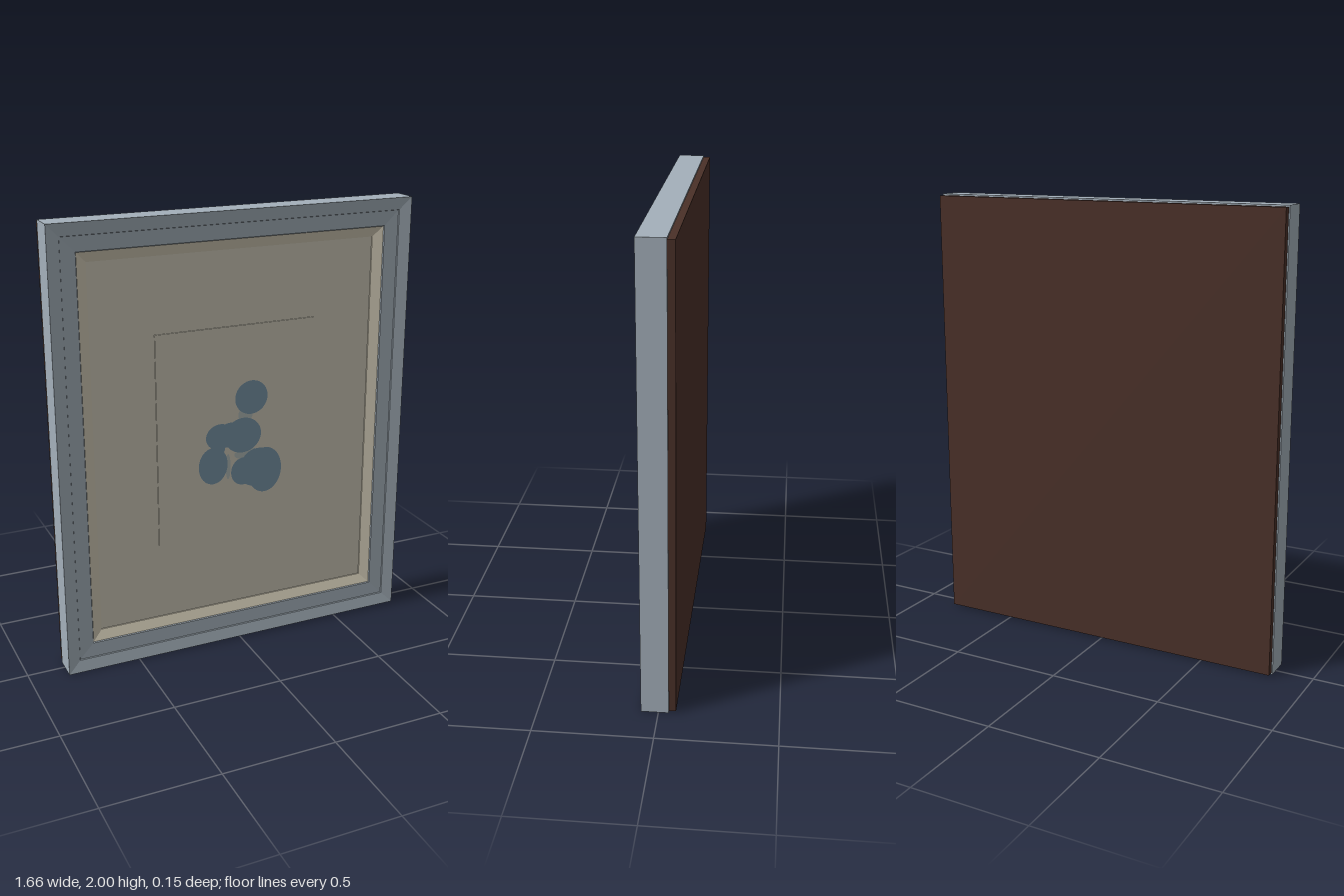
import * as THREE from 'three';
import { mergeGeometries } from 'three/addons/utils/BufferGeometryUtils.js';

const W = 0.83, H = 1; // half size of the frame

const mat = (name, color) => {
  const m = new THREE.MeshStandardMaterial({ color });
  m.name = name;
  return m;
};

// Mitred moulding: sweeps a profile of [inset, z] points around the rectangle
function moulding(profile) {
  const corners = [[-1, -1], [1, -1], [1, 1], [-1, 1]];
  const at = ([inset, z], i) => {
    const [sx, sy] = corners[i % 4];
    return [sx * (W - inset), H + sy * (H - inset), z];
  };
  const pos = [];
  for (let k = 0; k < profile.length - 1; k++) {
    for (let i = 0; i < 4; i++) {
      const a = at(profile[k], i), b = at(profile[k], i + 1);
      const c = at(profile[k + 1], i + 1), d = at(profile[k + 1], i);
      pos.push(...a, ...b, ...c, ...a, ...c, ...d);
    }
  }
  const g = new THREE.BufferGeometry();
  g.setAttribute('position', new THREE.Float32BufferAttribute(pos, 3));
  g.computeVertexNormals();
  return g;
}

// Flat painted ellipses [x, y, rx, ry] merged into one patch
function patches(list, z) {
  return mergeGeometries(list.map(([x, y, rx, ry]) =>
    new THREE.CircleGeometry(1, 40).scale(rx, ry, 1).translate(x, y, z)));
}

export function createModel() {
  const group = new THREE.Group();
  const frameBlue = mat('greyBlue', 0xa4b0ba);
  const cream = mat('cream', 0xcdc8b8);
  const liner = mat('linerCream', 0xcfc8b4);
  const brown = mat('darkBrown', 0x4a3028);
  const paint = mat('paintBlue', 0x7896a8);
  const wash = mat('paleWash', 0xb0b9b6);

  const add = (name, geometry, material) => {
    const mesh = new THREE.Mesh(geometry, material);
    mesh.name = name;
    group.add(mesh);
  };
  const slab = (w, h, d, y, z) => new THREE.BoxGeometry(w, h, d).translate(0, y, z);

  // Outer frame with two bands and a small step at the liner
  add('frame', moulding([
    [0.17, -0.043], [0, -0.043], [0, 0.073], [0.055, 0.062], [0.057, 0.057],
    [0.122, 0.053], [0.125, 0.048],
  ]), frameBlue);

  // Sloping liner between frame and picture
  add('liner', moulding([[0.125, 0.048], [0.17, 0.031], [0.17, 0.02]]), liner);

  // Backing board
  add('backing', slab(1.65, 1.986, 0.03, 1, -0.058), brown);

  // Mount and the raised picture sheet
  add('mount', slab(1.34, 1.67, 0.04, 1, 0.006), cream);
  add('pictureSheet', slab(0.75, 0.97, 0.006, 1.01, 0.028), cream);

  // Pale washes joining the painted shapes
  add('paleWashes', patches([
    [0.045, 1.085, 0.035, 0.035], [0.05, 0.9, 0.06, 0.025], [-0.04, 0.85, 0.012, 0.06],
  ], 0.032), wash);

  // Painted rounded shapes
  add('paintedShapes', patches([
    [0.073, 1.163, 0.079, 0.078],
    [-0.08, 0.998, 0.067, 0.06], [-0.03, 1.0, 0.07, 0.058], [0.032, 0.99, 0.089, 0.082],
    [-0.09, 0.945, 0.035, 0.04], [-0.113, 0.865, 0.07, 0.087],
    [0.035, 0.818, 0.061, 0.066], [0.08, 0.81, 0.06, 0.07],
    [0.105, 0.85, 0.08, 0.068], [0.14, 0.808, 0.084, 0.108],
  ], 0.0335), paint);

  return group;
}
